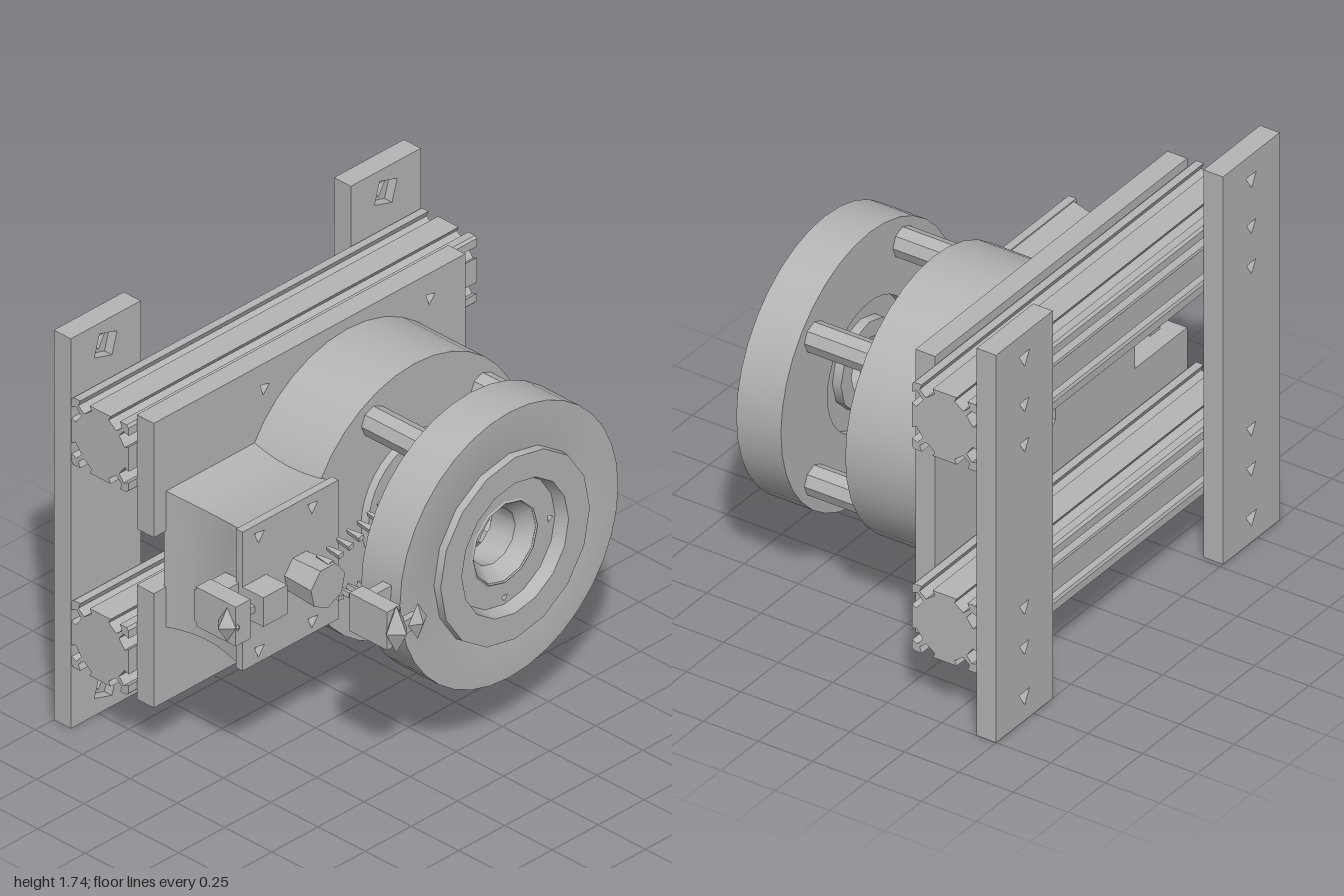
import * as THREE from 'three';
import { toCreasedNormals } from 'three/addons/utils/BufferGeometryUtils.js';

const CX = 0.2, CY = 0.87; // spindle axis

export function createModel() {
  const model = new THREE.Group();
  const metal = new THREE.MeshStandardMaterial({ color: 0xb5b5b5 });
  metal.name = 'machined metal grey';

  const add = (name, geo, x = 0, y = 0, z = 0) => {
    const mesh = new THREE.Mesh(toCreasedNormals(geo, 0.6), metal);
    mesh.name = name;
    mesh.position.set(x, y, z);
    model.add(mesh);
    return mesh;
  };
  // Box given by its limits on each axis
  const box = (name, x0, x1, y0, y1, z0, z1) =>
    add(name, new THREE.BoxGeometry(x1 - x0, y1 - y0, z1 - z0), (x0 + x1) / 2, (y0 + y1) / 2, (z0 + z1) / 2);
  // Regular polygon outline, for holes and discs
  const polygon = (x, y, r, n, turn = 0) => new THREE.Path(Array.from({ length: n }, (_, i) => {
    const a = turn + (i / n) * Math.PI * 2;
    return new THREE.Vector2(x + r * Math.cos(a), y + r * Math.sin(a));
  }));
  // Flat outline with holes, pushed out along z
  const plate = (name, pts, holes, z0, z1) => {
    const shape = new THREE.Shape(pts.map(([x, y]) => new THREE.Vector2(x, y)));
    shape.holes.push(...holes);
    return add(name, new THREE.ExtrudeGeometry(shape, { depth: z1 - z0, bevelEnabled: false }), 0, 0, z0);
  };
  // Closed [radius, z] profile turned around the spindle axis
  const turned = (name, pts, sides) => {
    const geo = new THREE.LatheGeometry([...pts, pts[0]].map(([r, z]) => new THREE.Vector2(r, z)), sides);
    return add(name, geo.rotateX(Math.PI / 2), CX, CY, 0);
  };
  const gem = (name, x, y, z, sx, sy, sz) =>
    add(name, new THREE.OctahedronGeometry(1).scale(sx, sy, sz), x, y, z);
  const rect = (x0, x1, y0, y1) => [[x0, y0], [x1, y0], [x1, y1], [x0, y1]];

  // Mounting legs: end holes are wide squares in front and small triangles behind
  for (const [x0, x1, hx] of [[-0.9, -0.52, -0.71], [0.62, 1.0, 0.81]]) {
    const bolts = [1.42, 1.24, 0.51, 0.33].map((y) => polygon(hx, y, 0.035, 3, 0.5));
    const ends = (r, n) => [1.63, 0.11].map((y) => polygon(hx, y, r, n, 0.5));
    plate('mountingLegFront', rect(x0, x1, 0, 1.74), [...bolts, ...ends(0.07, 4)], -0.7, -0.66);
    plate('mountingLegBack', rect(x0, x1, 0, 1.74), [...bolts, ...ends(0.04, 3)], -0.75, -0.7);
  }

  // Slotted rails: one quadrant of the profile, repeated four times
  const quadrant = [[0.15, 0.055], [0.13, 0.045], [0.1, 0.085], [0.125, 0.115], [0.15, 0.105], [0.15, 0.14],
    [0.14, 0.15], [0.105, 0.15], [0.115, 0.125], [0.085, 0.1], [0.045, 0.13], [0.055, 0.15]];
  const profile = [];
  for (let q = 0; q < 4; q++) {
    const c = [1, 0, -1, 0][q], s = [0, 1, 0, -1][q];
    for (const [u, v] of quadrant) profile.push(new THREE.Vector2(u * c - v * s, u * s + v * c));
  }
  for (const y of [1.33, 0.425]) {
    const geo = new THREE.ExtrudeGeometry(new THREE.Shape(profile), { depth: 1.89, bevelEnabled: false });
    add('slottedRail', geo.rotateY(Math.PI / 2), -0.895, y, -0.51);
  }

  // Face plate, notched behind the motor, bored for the spindle
  const plateHoles = [polygon(CX, CY, 0.18, 8, Math.PI / 8)];
  for (const x of [-0.25, 0.65]) for (const y of [0.34, 1.4]) plateHoles.push(polygon(x, y, 0.03, 3, 0.3));
  plate('facePlate', [[-0.85, 0.24], [0.84, 0.24], [0.84, 1.51], [-0.85, 1.51],
    [-0.85, 1.0], [-0.5, 1.0], [-0.5, 0.75], [-0.85, 0.75]], plateHoles, -0.36, -0.27);

  // Rear drum and front disc
  turned('rearDrum', [[0.17, -0.27], [0.592, -0.27], [0.592, 0.085], [0.29, 0.085],
    [0.27, 0.105], [0.18, 0.105], [0.17, 0.09]], 36);
  turned('frontDisc', [[0.28, 0.38], [0.592, 0.38], [0.592, 0.585], [0.4, 0.585], [0.28, 0.55]], 36);
  turned('frontCollar', [[0.27, 0.54], [0.41, 0.57], [0.405, 0.617], [0.29, 0.617], [0.275, 0.56]], 16);

  // Recessed hub floor with four bolt holes, and a tapered bore
  const hubHoles = [polygon(CX, CY, 0.17, 12)];
  for (let i = 0; i < 4; i++) {
    const a = (i * Math.PI) / 2;
    hubHoles.push(polygon(CX + 0.245 * Math.cos(a), CY + 0.245 * Math.sin(a), 0.018, 3, a));
  }
  plate('hubFloor', polygon(CX, CY, 0.29, 16).getPoints().map((p) => [p.x, p.y]), hubHoles, 0.42, 0.56);
  turned('hubBore', [[0.12, 0.38], [0.19, 0.38], [0.19, 0.555], [0.175, 0.565], [0.12, 0.5]], 12);

  // Spacer posts between drum and disc
  for (const a of [41, 117, -117, -41].map(THREE.MathUtils.degToRad)) {
    add('spacerPost', new THREE.CylinderGeometry(0.065, 0.065, 0.31, 8).rotateX(Math.PI / 2),
      CX + 0.49 * Math.cos(a), CY + 0.49 * Math.sin(a), 0.235);
  }

  // Motor housing: hollow waisted body with a front flange
  const body = new THREE.Shape(rect(-0.785, -0.3, 0.57, 1.18).map(([x, y]) => new THREE.Vector2(x, y)));
  body.holes.push(new THREE.Path(rect(-0.72, -0.4, 0.66, 1.09).map(([x, y]) => new THREE.Vector2(x, y))));
  const bodyGeo = new THREE.ExtrudeGeometry(body, { depth: 0.4, steps: 6, bevelEnabled: false });
  const p = bodyGeo.attributes.position;
  for (let i = 0; i < p.count; i++) {
    const pinch = 0.06 * Math.sin((p.getZ(i) / 0.4) * Math.PI);
    p.setY(i, CY + (p.getY(i) - CY) * (1 - pinch));
    if (p.getX(i) < -0.5) p.setX(i, p.getX(i) + pinch * 0.4);
  }
  add('motorHousing', bodyGeo, 0, 0, -0.28);
  const flangeHoles = [];
  for (const x of [-0.71, -0.42]) for (const y of [0.62, 1.13]) flangeHoles.push(polygon(x, y, 0.032, 3, 0.4));
  plate('motorFlange', rect(-0.8, -0.28, 0.565, 1.185), flangeHoles, 0.115, 0.15);

  // Motor pulley
  add('motorPulley', new THREE.CylinderGeometry(0.095, 0.085, 0.15, 7).rotateX(Math.PI / 2), -0.49, CY, 0.225);

  // Belt teeth along both runs and around the spindle end
  const tooth = (x, y, w, turn) => {
    const shape = new THREE.Shape([new THREE.Vector2(-w / 2, -0.037), new THREE.Vector2(w / 2, -0.037),
      new THREE.Vector2(w / 6, 0.037), new THREE.Vector2(-w / 6, 0.037)]);
    const geo = new THREE.ExtrudeGeometry(shape, { depth: 0.02, bevelEnabled: false });
    add('beltTooth', geo.translate(0, 0, -0.01).rotateX(-Math.PI / 2).rotateZ(turn), x, y, 0.25);
  };
  for (const s of [1, -1]) {
    for (let i = 0; i < 8; i++) tooth(-0.46 + i * 0.055, CY + s * (0.08 + i * 0.014), 0.028, s * 0.25);
    for (const deg of [40, 60, 90]) {
      const a = THREE.MathUtils.degToRad(deg) * s;
      tooth(CX + 0.21 * Math.cos(a), CY + 0.21 * Math.sin(a), 0.1, a + Math.PI / 2);
    }
  }

  // Side sensor on its bracket
  box('sideBracketArm', -0.95, -0.78, 0.81, 0.95, 0.04, 0.13);
  box('sideBracketPost', -0.95, -0.87, 0.79, 0.965, 0.05, 0.26);
  gem('sideKnob', -0.94, CY, 0.215, 0.06, 0.09, 0.055);
  box('sidePin', -0.88, -0.79, 0.855, 0.885, 0.19, 0.215);
  box('sideSensor', -0.8, -0.67, 0.81, 0.94, 0.14, 0.26);

  // Front sensor on its bracket
  box('frontBracketArm', -0.57, -0.37, 0.81, 0.93, 0.49, 0.535);
  box('frontBracketPost', -0.57, -0.5, 0.79, 0.96, 0.49, 0.69);
  gem('frontKnob', -0.53, CY, 0.7, 0.055, 0.105, 0.055);
  box('frontPin', -0.53, -0.43, 0.84, 0.9, 0.685, 0.715);
  gem('frontTip', -0.43, CY, 0.715, 0.05, 0.08, 0.03);

  return model;
}
